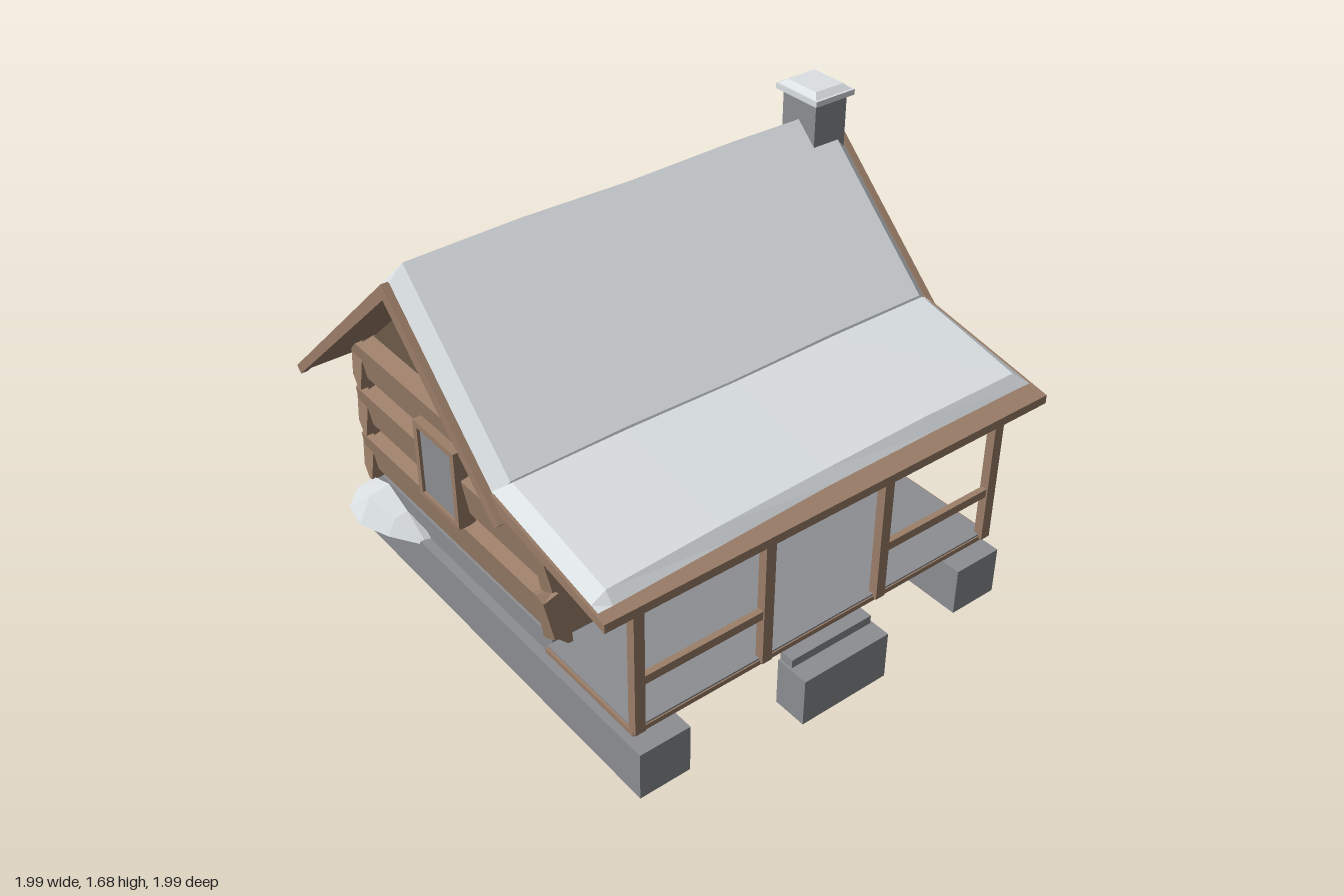
import * as THREE from 'three';

const mat = (name, color) => {
  const m = new THREE.MeshStandardMaterial({ color, side: THREE.DoubleSide, flatShading: true });
  m.name = name;
  return m;
};

export function createModel() {
  const stone = mat('stone grey', 0x8c8e92);
  const wood = mat('log brown', 0x9c7f69);
  const dark = mat('dark gable brown', 0x6e5b4a);
  const snow = mat('snow white', 0xdce1e4);

  const model = new THREE.Group();
  const add = (name, geo, m, parent = model) => {
    const mesh = new THREE.Mesh(geo, m);
    mesh.name = name;
    parent.add(mesh);
    return mesh;
  };
  // Box given by its limits; open boxes have no bottom
  const box = (name, m, [x0, x1], [y0, y1], [z0, z1], open = false, parent = model) => {
    const g = new THREE.BoxGeometry(x1 - x0, y1 - y0, z1 - z0);
    if (open) {
      const i = Array.from(g.index.array);
      i.splice(18, 6);
      g.setIndex(i);
      g.clearGroups();
    }
    g.translate((x0 + x1) / 2, (y0 + y1) / 2, (z0 + z1) / 2);
    return add(name, g, m, parent);
  };
  // Box whose top is a different rectangle
  const frustum = (name, m, y0, y1, [a0, a1, b0, b1], [c0, c1, d0, d1]) => {
    const g = new THREE.BoxGeometry(1, 1, 1);
    const p = g.attributes.position;
    for (let i = 0; i < p.count; i++) {
      const top = p.getY(i) > 0, right = p.getX(i) > 0, front = p.getZ(i) > 0;
      p.setXYZ(i, top ? (right ? c1 : c0) : (right ? a1 : a0), top ? y1 : y0,
        top ? (front ? d1 : d0) : (front ? b1 : b0));
    }
    return add(name, g, m);
  };
  // Profile of [z, y] points extruded along x
  const extrudeX = (pts, x0, x1) => {
    const s = new THREE.Shape(pts.map(([z, y]) => new THREE.Vector2(-z, y)));
    const g = new THREE.ExtrudeGeometry(s, { depth: x1 - x0, bevelEnabled: false });
    return g.rotateY(Math.PI / 2).translate(x0, 0, 0);
  };
  // Surface through equally long rows of [x, y, z] points
  const loft = (rows) => {
    const n = rows[0].length, index = [];
    for (let r = 0; r < rows.length - 1; r++) {
      for (let c = 0; c < n - 1; c++) {
        const a = r * n + c, b = a + n;
        index.push(a, b, a + 1, b, b + 1, a + 1);
      }
    }
    const g = new THREE.BufferGeometry();
    g.setAttribute('position', new THREE.Float32BufferAttribute(rows.flat(2), 3));
    g.setIndex(index);
    const flat = g.toNonIndexed();
    flat.computeVertexNormals();
    return flat;
  };

  // Foundation, porch footings and steps
  box('foundation', stone, [-0.84, 0.84], [0, 0.2], [-0.84, 0.37], true);
  box('plinth', stone, [-0.8, 0.8], [0.2, 0.29], [-0.83, 0.37]);
  box('leftFooting', stone, [0.63, 0.84], [0, 0.2], [0.37, 0.92], true);
  box('rightFooting', stone, [-0.84, -0.63], [0, 0.2], [0.37, 0.92], true);
  box('lowerStep', stone, [-0.195, 0.195], [0, 0.2], [0.86, 1], true);
  box('upperStep', stone, [-0.185, 0.185], [0.2, 0.235], [0.86, 0.92]);

  // Log walls: three bevelled logs on each side of a core
  box('wallCore', dark, [-0.77, 0.77], [0.28, 0.92], [-0.81, 0.36]);
  const walls = [
    ['frontLogs', 0, 0, 0.36, 0.83, false], ['backLogs', Math.PI, 0, -0.81, 0.83, true],
    ['leftLogs', Math.PI / 2, 0.77, -0.225, 0.635, true],
    ['rightLogs', -Math.PI / 2, -0.77, -0.225, 0.635, true],
  ];
  for (const [name, turn, x, z, half, wideTop] of walls) {
    const wall = new THREE.Group();
    wall.name = name;
    wall.position.set(x, 0, z);
    wall.rotation.y = turn;
    model.add(wall);
    for (let i = 0; i < 3; i++) {
      const y = 0.288 + i * 0.212;
      const [lo, hi] = wideTop ? [0.042, 0.068] : [0.062, 0.035];
      const g = extrudeX([[-0.02, y], [0, y], [lo, y + 0.04], [hi, y + 0.195], [0, y + 0.212], [-0.02, y + 0.212]], -half, half);
      // Slanted log ends
      const p = g.attributes.position;
      for (let k = 0; k < p.count; k++) {
        const slant = (p.getY(k) - y - 0.1) * (wideTop ? -0.15 : 0.15);
        p.setX(k, p.getX(k) + Math.sign(p.getX(k)) * slant);
      }
      g.computeVertexNormals();
      add('log', g, wood, wall);
    }
  }
  add('gable', extrudeX([[0.38, 0.87], [-0.23, 1.44], [-0.84, 0.87]], -0.77, 0.77), dark);

  // Windows and door: frame bars around a plain pane
  const opening = (name, w, y0, y1, x, z, turn) => {
    const g = new THREE.Group();
    g.name = name;
    g.position.set(x, 0, z);
    g.rotation.y = turn;
    model.add(g);
    const h = w / 2, f = 0.025;
    box('pane', stone, [-h + f, h - f], [y0, y1 - f], [0, 0.008], false, g);
    box('frameTop', wood, [-h, h], [y1 - f, y1], [-0.05, 0.02], false, g);
    for (const s of [-1, 1]) {
      const c = s * (h - f / 2);
      box('frameSide', wood, [c - f / 2, c + f / 2], [y0, y1], [-0.05, 0.02], false, g);
    }
    if (name !== 'door') box('sill', wood, [-h, h], [y0 - 0.012, y0 + 0.008], [-0.05, 0.02], false, g);
  };
  opening('rightFrontWindow', 0.32, 0.5, 0.82, -0.47, 0.425, 0);
  opening('leftFrontWindow', 0.32, 0.5, 0.82, 0.465, 0.425, 0);
  opening('door', 0.32, 0.29, 0.84, 0, 0.425, 0);
  opening('backWindow', 0.29, 0.5, 0.8, 0, -0.88, Math.PI);
  opening('sideWindow', 0.27, 0.5, 0.82, -0.84, -0.24, -Math.PI / 2);

  // Porch deck, posts and rails
  box('porchFrame', wood, [-0.83, 0.83], [0.24, 0.26], [0.37, 0.87]);
  box('porchFloor', stone, [-0.82, 0.82], [0.26, 0.267], [0.37, 0.865]);
  for (const x of [-0.807, -0.267, 0.265, 0.805]) {
    box('porchPost', wood, [x - 0.021, x + 0.021], [0.25, 0.85], [0.845, 0.882]);
  }
  for (const s of [-1, 1]) {
    const [a, b] = [s * 0.28, s * 0.79].sort((p, q) => p - q);
    box('porchRail', wood, [a, b], [0.45, 0.485], [0.852, 0.876]);
  }

  // Roof deck, verge boards and porch roof
  const ridgeZ = -0.23;
  const chevron = [[0.4, 0.9], [ridgeZ, 1.49], [-0.99, 0.78], [-0.965, 0.755], [ridgeZ, 1.43], [0.37, 0.87]];
  add('roofDeck', extrudeX([[0.385, 0.9], [ridgeZ, 1.475], [-0.97, 0.785], [-0.955, 0.77], [ridgeZ, 1.44], [0.37, 0.88]], -0.97, 0.97), wood);
  add('rightVerge', extrudeX(chevron, -0.995, -0.968), wood);
  add('leftVerge', extrudeX(chevron, 0.968, 0.995), wood);
  add('porchRoof', extrudeX([[0.33, 0.97], [0.935, 0.855], [0.935, 0.82], [0.33, 0.925]], -0.975, 0.975), wood);

  // Snow on the roofs: x, thickness, back edge, porch edge
  const main = (z) => 1.485 - 0.934 * Math.abs(z - ridgeZ);
  const porch = (z) => 0.972 - 0.193 * (z - 0.33);
  const sections = [
    [-0.965, 0, -0.9, 0.89], [-0.91, 0.055, -0.9, 0.89], [-0.45, 0.065, -0.9, 0.875],
    [0, 0.058, -0.93, 0.86], [0.47, 0.068, -0.965, 0.857], [0.91, 0.064, -0.93, 0.858], [0.965, 0, -0.92, 0.86],
  ];
  add('roofSnow', loft(sections.map(([x, t, zb]) => [
    [x, main(0.37), 0.37], [x, main(0.345) + t, 0.345], [x, main(ridgeZ) + t, ridgeZ],
    [x, main(zb + 0.03) + t * 0.8, zb + 0.03], [x, main(zb), zb],
  ])), snow);
  add('porchSnow', loft(sections.map(([x, t, , zf]) => [
    [x, porch(zf), zf], [x, porch(zf - 0.035) + t * 0.6, zf - 0.035],
    [x, porch(0.36) + t * 0.75, 0.36], [x, porch(0.32), 0.32],
  ])), snow);

  // Chimney with shoulders and a snowy cap
  box('chimneyBase', stone, [0.78, 0.97], [0, 0.2], [-0.45, 0.015], true);
  box('hearthBlock', stone, [0.78, 0.965], [0.2, 0.63], [-0.43, -0.02]);
  frustum('chimneyShoulder', stone, 0.63, 0.79, [0.78, 0.965, -0.43, -0.02], [0.78, 0.945, -0.32, -0.14]);
  box('chimneyShaft', stone, [0.79, 0.943], [0.78, 1.645], [-0.32, -0.14]);
  box('chimneyCap', snow, [0.772, 0.963], [1.64, 1.662], [-0.345, -0.12]);
  frustum('capSnow', snow, 1.662, 1.682, [0.78, 0.955, -0.335, -0.13], [0.8, 0.935, -0.31, -0.155]);

  // Snow drifts against the back and the right side
  add('backDrift', loft([[0.8, 0.01, 0.02], [0.45, 0.07, 0.06], [0.1, 0.12, 0.09], [-0.3, 0.1, 0.08], [-0.72, 0.01, 0.02]]
    .map(([x, h, d]) => [[x, 0.2, -0.82], [x, 0.2 + h, -0.825], [x, 0.2 + h * 0.9, -0.84 - d * 0.25], [x, 0.2, -0.84 - d]])), snow);
  add('sideDrift', loft([[-0.86, 0.01, 0.02], [-0.8, 0.09, 0.11], [-0.68, 0.13, 0.13], [-0.55, 0.08, 0.08], [-0.44, 0.01, 0.01]]
    .map(([z, h, d]) => [[-0.79, 0.2, z], [-0.83, 0.2 + h, z], [-0.84 - d * 0.6, 0.2 + h * 0.85, z], [-0.84 - d, 0.2, z]])), snow);

  return model;
}
